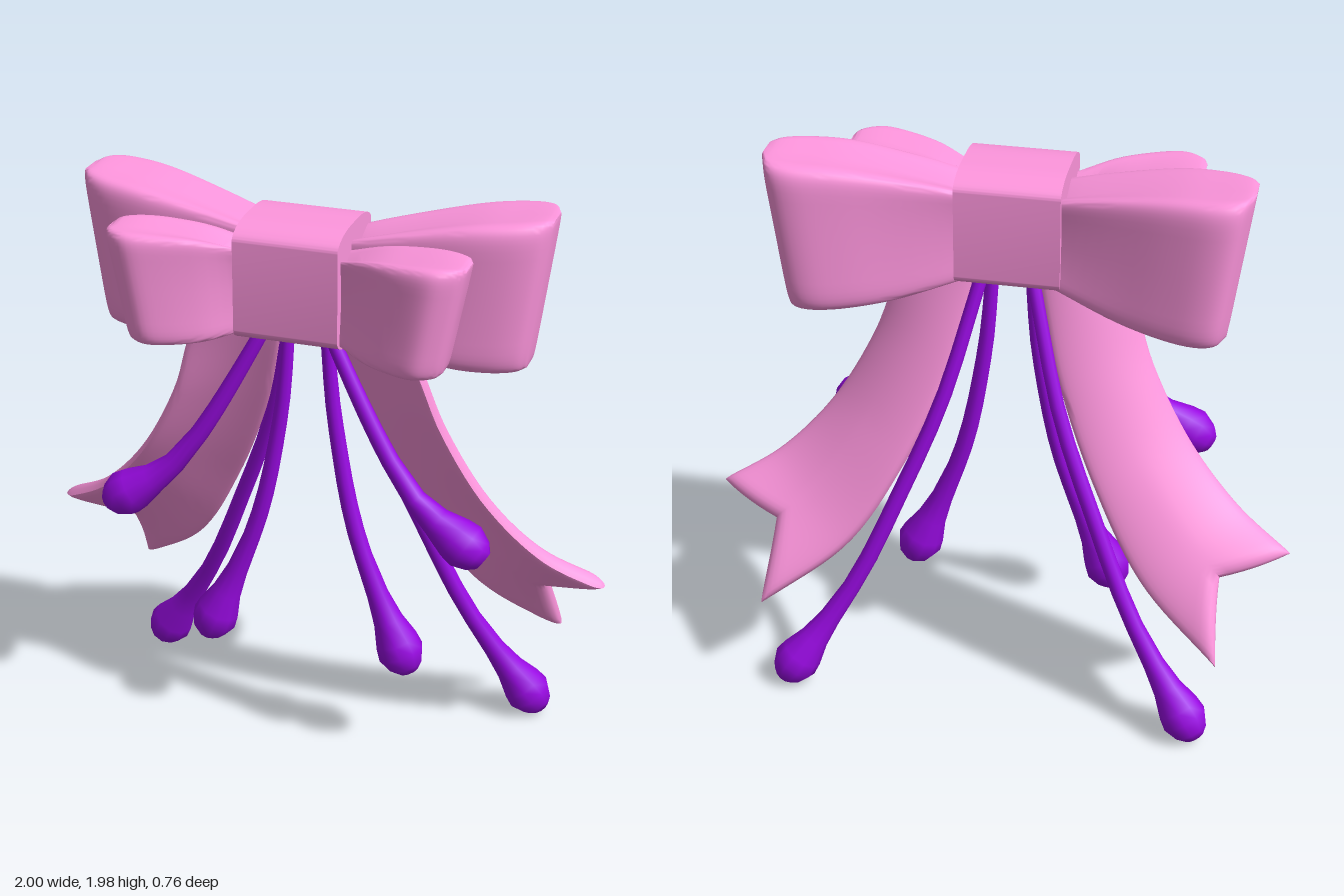
import * as THREE from 'three';
import { toCreasedNormals } from 'three/addons/utils/BufferGeometryUtils.js';

const pink = new THREE.MeshStandardMaterial({ color: 0xff96de });
const purple = new THREE.MeshStandardMaterial({ color: 0x9a0ae4 });
const V = (x, y, z) => new THREE.Vector3(x, y, z);
const spline = (pts) => new THREE.CatmullRomCurve3(pts.map((p) => V(...p)), false, 'catmullrom', 0.5);
const signedPow = (v, e) => Math.sign(v) * Math.pow(Math.abs(v), e);

// Closed skin over equal rings of points; ends are zipped shut across the ring.
function loft(rings, crease) {
  const n = rings[0].length, pos = [], idx = [];
  rings.forEach((r) => r.forEach((p) => pos.push(p.x, p.y, p.z)));
  for (let i = 0; i < rings.length - 1; i++) {
    for (let j = 0; j < n; j++) {
      const a = i * n + j, b = i * n + (j + 1) % n;
      idx.push(a, b, b + n, a, b + n, a + n);
    }
  }
  const last = (rings.length - 1) * n;
  for (let j = 0; j < n / 2; j++) {
    const q = [j, j + 1, n - j - 1, (n - j) % n];
    idx.push(q[0], q[2], q[1], q[0], q[3], q[2]);
    const [a, b, c, d] = q.map((k) => k + last);
    idx.push(a, b, c, a, c, d);
  }
  // Signed volume tells whether the faces point inwards.
  const at = (k) => V(pos[3 * k], pos[3 * k + 1] - 1, pos[3 * k + 2]);
  let volume = 0;
  for (let k = 0; k < idx.length; k += 3) {
    volume += at(idx[k]).dot(at(idx[k + 1]).cross(at(idx[k + 2])));
  }
  if (volume < 0) idx.reverse();
  const g = new THREE.BufferGeometry();
  g.setAttribute('position', new THREE.Float32BufferAttribute(pos, 3));
  g.setIndex(idx);
  return toCreasedNormals(g, crease);
}

function add(parent, name, geometry, material) {
  const mesh = new THREE.Mesh(geometry, material);
  mesh.name = name;
  parent.add(mesh);
}

// Puffed bow loop. Rows: distance from centre, top, bottom, back z, front z.
function bowLoop(rows, side, cx, taper) {
  const heights = spline(rows.map((r) => [r[0], r[1], r[2]]));
  const depths = spline(rows.map((r) => [r[0], r[3], r[4]]));
  const rings = [], steps = 28, n = 48;
  const yTop = Math.max(...rows.map((r) => r[1]));
  for (let i = 0; i <= steps; i++) {
    const t = i / steps, h = heights.getPoint(t), d = depths.getPoint(t);
    const pinch = Math.pow(1 - t, 1.5);
    const ring = [];
    for (let j = 0; j < n; j++) {
      const a = (j / n) * Math.PI * 2;
      const u = signedPow(Math.cos(a), 0.3), w = signedPow(Math.sin(a), 0.3);
      // Crease along the top and bottom, and a soft dent in the faces near the knot.
      const crease = u * (0.008 + 0.05 * pinch) * (1 - Math.abs(w));
      const dent = w * 0.03 * pinch * (1 - u * u);
      const y = (h.y + h.z) / 2 + u * (h.y - h.z) / 2 - crease;
      const z = (d.y + d.z) / 2 + w * (d.z - d.y) / 2 - dent;
      ring.push(V(cx + side * h.x * (1 - taper * (yTop - y)), y, z));
    }
    rings.push(ring);
  }
  return loft(rings, 0.9);
}

// Hanging ribbon between two edge curves, cupped forwards, with a thick, rounded, notched end.
function tail(side) {
  const outer = spline([[0.32, 1.62, 0.165], [0.4, 1.48, 0.145], [0.48, 1.25, 0.105],
    [0.62, 1.0, 0.06], [0.8, 0.805, 0], [1.0, 0.685, -0.08]]);
  const inner = spline([[0.08, 1.62, 0.08], [0.12, 1.45, 0.04], [0.19, 1.2, -0.03],
    [0.33, 0.88, -0.12], [0.52, 0.57, -0.21], [0.8, 0.36, -0.335]]);
  const rings = [], steps = 34, n = 40;
  for (let i = 0; i <= steps; i++) {
    const v = 1 - Math.pow(1 - i / steps, 1.5), ring = [];
    const round = Math.sqrt(1 - 0.9 * Math.pow(Math.max(0, (v - 0.96) / 0.04), 2));
    const half = (0.03 + 0.012 * THREE.MathUtils.smoothstep(v, 0.6, 0.95)) * round;
    for (let j = 0; j < n; j++) {
      const a = (j / n) * Math.PI * 2, w = 0.5 - 0.5 * Math.cos(a), k = 2 * w - 1;
      const t = v * (1 - 0.1 * (1 - Math.abs(k)));
      const o = outer.getPoint(t), p = inner.getPoint(t);
      const along = outer.getTangent(t).lerp(inner.getTangent(t), w);
      const normal = along.cross(p.clone().sub(o)).normalize();
      if (normal.z < 0) normal.negate();
      const lift = half * signedPow(Math.sin(a), 0.4) - 0.03 * (1 - k * k);
      const q = o.lerp(p, w).addScaledVector(normal, lift);
      q.x *= side;
      ring.push(q);
    }
    rings.push(ring);
  }
  return loft(rings, 0.9);
}

// Cord swelling into a drop. Profile: distance from the end, radius.
const drop = [[0, 0.035], [0.025, 0.06], [0.075, 0.081], [0.12, 0.075], [0.2, 0.052], [0.3, 0.038], [0.45, 0.031]];
function streamer(points, side, cx) {
  const path = spline(points.map(([x, y, z]) => [x * side + cx, y, z]));
  const length = path.getLength(), stations = [...drop];
  for (let i = 1; i <= 10; i++) {
    stations.push([0.45 + (length - 0.45) * i / 10, 0.031 - 0.009 * i / 10]);
  }
  const rings = stations.map(([d, r]) => {
    const t = Math.max(0, 1 - d / length), c = path.getPointAt(t), dir = path.getTangentAt(t);
    const across = V(0, 0, 1).cross(dir).normalize(), up = dir.clone().cross(across);
    return Array.from({ length: 10 }, (_, j) => {
      const a = (j / 10) * Math.PI * 2;
      return c.clone().addScaledVector(across, r * Math.cos(a)).addScaledVector(up, r * Math.sin(a));
    });
  });
  return loft(rings, 0.9);
}

// Band wrapped around the middle: upright front and back, gently crowned top and bottom.
function knot() {
  const s = new THREE.Shape(), rz = 0.14, ry = 0.05, w = 0.175, h = 0.2;
  [[1, 1], [-1, 1], [-1, -1], [1, -1]].forEach(([a, b], i) => {
    const start = i * Math.PI / 2;
    s.absellipse(a * (w - rz), b * (h - ry), rz, ry, start, start + Math.PI / 2, false, 0);
  });
  const g = new THREE.ExtrudeGeometry(s, { depth: 0.35, bevelEnabled: false, curveSegments: 10 });
  g.translate(0, 0, -0.175).rotateY(Math.PI / 2).translate(-0.015, 1.74, 0.105);
  return toCreasedNormals(g, 0.6);
}

export function createModel() {
  const model = new THREE.Group();
  model.name = 'bow';
  add(model, 'knot', knot(), pink);

  const backLoop = [[0.1, 1.87, 1.57, -0.05, 0.14], [0.18, 1.9, 1.545, -0.07, 0.15], [0.38, 1.945, 1.49, -0.13, 0.15],
    [0.55, 1.975, 1.465, -0.18, 0.145], [0.68, 1.985, 1.458, -0.203, 0.12], [0.76, 1.987, 1.46, -0.18, 0.08],
    [0.794, 1.982, 1.468, -0.1, 0.03]];
  const frontLoop = [[0.1, 1.85, 1.58, 0.125, 0.245], [0.18, 1.87, 1.56, 0.125, 0.26], [0.3, 1.9, 1.535, 0.125, 0.325],
    [0.42, 1.912, 1.527, 0.13, 0.37], [0.51, 1.915, 1.527, 0.145, 0.385], [0.575, 1.91, 1.53, 0.175, 0.35],
    [0.598, 1.9, 1.54, 0.21, 0.31]];
  const upperStreamer = [[0.07, 1.66, 0.14], [0.13, 1.53, 0.165], [0.3, 1.22, 0.2], [0.44, 1.03, 0.22], [0.662, 0.87, 0.235]];
  const middleStreamer = [[0.06, 1.66, 0.09], [0.07, 1.5, 0.09], [0.1, 1.2, 0.09], [0.185, 0.8, 0.1], [0.375, 0.33, 0.11]];
  const lowerStreamer = [[0.06, 1.66, 0.06], [0.1, 1.5, 0.02], [0.2, 1.12, -0.07], [0.34, 0.76, -0.14],
    [0.5, 0.4, -0.21], [0.743, 0.02, -0.3]];

  // Long hanging parts are turned slightly about the upright axis.
  const hanging = new THREE.Group();
  hanging.name = 'hangingParts';
  hanging.rotation.y = -0.03;
  model.add(hanging);

  for (const side of [1, -1]) {
    const label = side > 0 ? 'left' : 'right';
    add(model, label + 'BackLoop', bowLoop(backLoop, side, -0.012, 0.17), pink);
    add(model, label + 'FrontLoop', bowLoop(frontLoop, side, -0.015, 0.33), pink);
    add(model, label + 'UpperStreamer', streamer(upperStreamer, side, -0.013), purple);
    add(hanging, label + 'Tail', tail(side), pink);
    add(hanging, label + 'MiddleStreamer', streamer(middleStreamer, side, 0), purple);
    add(hanging, label + 'LowerStreamer', streamer(lowerStreamer, side, 0.003), purple);
  }
  return model;
}
